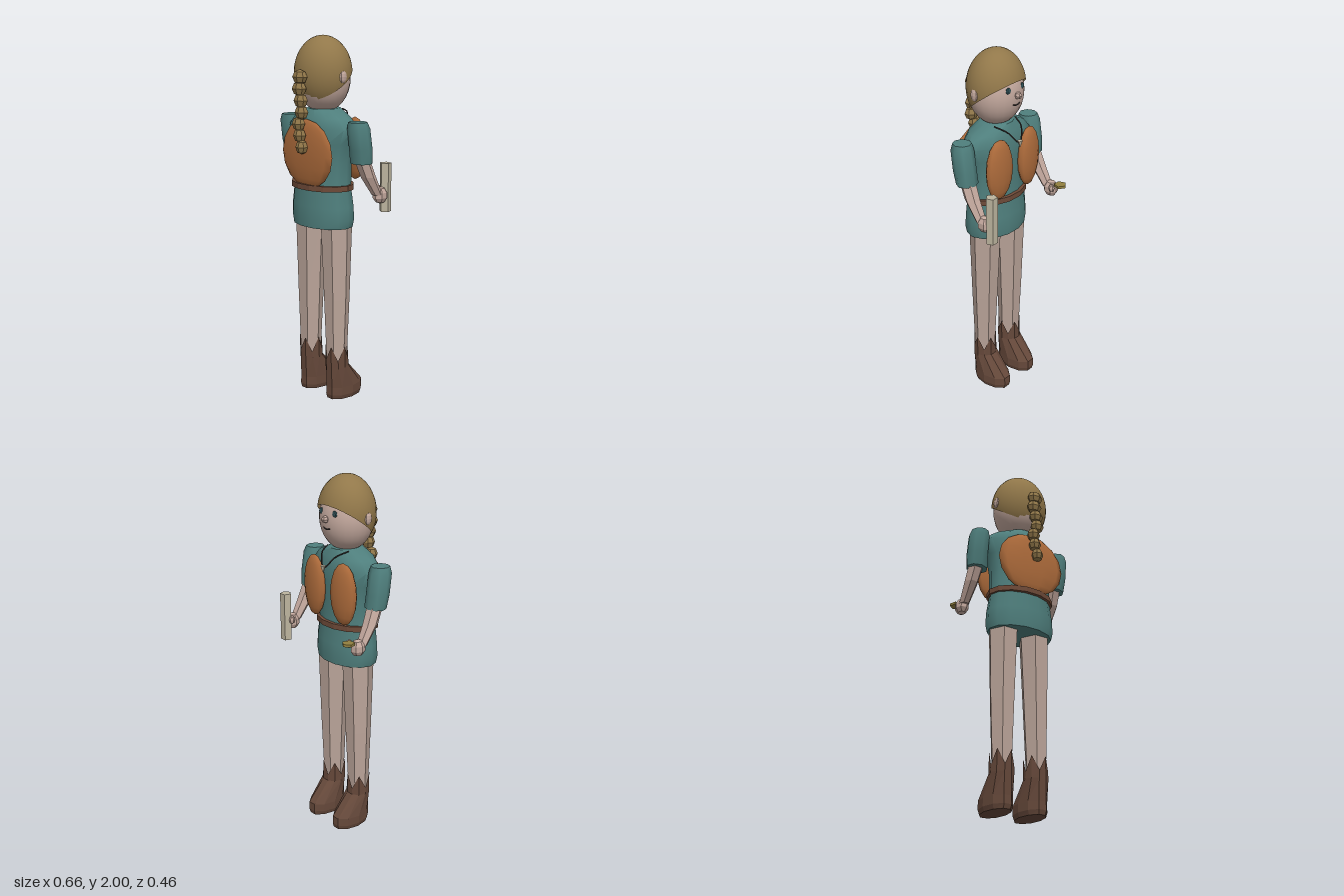
import * as THREE from 'three';
import { toCreasedNormals } from 'three/addons/utils/BufferGeometryUtils.js';

const COLORS = {
  skin: 0xc4a99e, hair: 0x92784a, tunic: 0x4f7f7d, leather: 0xad6b3b,
  trousers: 0xbba59a, boot: 0x65483a, belt: 0x6e4a38, bone: 0xbdb59f,
  gold: 0x92803f, dark: 0x2f2a28, eye: 0x2f4f55,
};

const material = (color, flatShading) =>
  new THREE.MeshStandardMaterial({ color: COLORS[color], flatShading, side: THREE.DoubleSide });

function add(parent, name, geometry, color, flat = true) {
  const mesh = new THREE.Mesh(geometry, material(color, flat));
  mesh.name = name;
  parent.add(mesh);
  return mesh;
}

// Stacked ellipses, top to bottom; each ring is [y, centreX, centreZ, radiusX, radiusZ]
function loft(rings, sides, { smooth = false, topCap = true, zigzag = 0 } = {}) {
  const pos = [], index = [];
  rings.forEach(([y, cx, cz, rx, rz], i) => {
    for (let j = 0; j < sides; j++) {
      const a = (j / sides) * Math.PI * 2;
      const drop = i === 0 && j % 2 ? zigzag : 0;
      pos.push(cx + rx * Math.cos(a), y - drop, cz + rz * Math.sin(a));
    }
  });
  const last = rings.length - 1, top = pos.length / 3, bottom = top + 1;
  for (const r of [rings[0], rings[last]]) pos.push(r[1], r[0], r[2]);
  for (let j = 0; j < sides; j++) {
    const k = (j + 1) % sides;
    for (let i = 0; i < last; i++) {
      const a = i * sides + j, b = i * sides + k;
      index.push(a, b, b + sides, a, b + sides, a + sides);
    }
    if (topCap) index.push(top, k, j);
    index.push(bottom, last * sides + j, last * sides + k);
  }
  const geometry = new THREE.BufferGeometry();
  geometry.setAttribute('position', new THREE.Float32BufferAttribute(pos, 3));
  geometry.setIndex(index);
  geometry.computeVertexNormals();
  return smooth ? toCreasedNormals(geometry, 1) : geometry;
}

// Sphere stretched to the given radii
function ball(parent, name, color, center, radii, [w, h] = [8, 6], flat = true) {
  const mesh = add(parent, name, new THREE.SphereGeometry(1, w, h), color, flat);
  mesh.position.set(...center);
  mesh.scale.set(...radii);
  return mesh;
}

function buildHead() {
  const head = new THREE.Group();
  head.name = 'head';
  ball(head, 'face', 'skin', [0, 1.775, 0.03], [0.15, 0.18, 0.143], [24, 16], false);

  // Hair cap, cut along a plane that slopes down to the nape
  const cap = new THREE.SphereGeometry(1, 28, 14, 0, Math.PI * 2, 0, 1.8);
  cap.rotateX(0.51).scale(0.163, 0.2, 0.15);
  add(head, 'hair', cap, 'hair', false).position.set(0, 1.8, 0.03);

  // Braid of faceted knots swaying down the back
  for (let i = 0; i < 7; i++) {
    const sway = [0, -0.006, 0.006, 0.012, -0.012, -0.004, 0.012][i];
    const r = 0.047 - i * 0.0022;
    ball(head, 'braidKnot', 'hair', [sway, 1.79 - i * 0.061, 0.195], [r, 0.039, 0.034], [7, 4]);
  }
  ball(head, 'nose', 'skin', [0, 1.782, -0.117], [0.02, 0.02, 0.022], [6, 4]);
  for (const s of [-1, 1]) {
    ball(head, 'ear', 'skin', [s * 0.155, 1.79, 0.036], [0.015, 0.034, 0.028], [8, 6]);
    ball(head, 'eye', 'eye', [s * 0.052, 1.815, -0.097], [0.017, 0.017, 0.01], [8, 6]);
  }
  const smile = new THREE.QuadraticBezierCurve3(
    new THREE.Vector3(-0.026, 1.735, -0.105), new THREE.Vector3(0, 1.722, -0.11),
    new THREE.Vector3(0.026, 1.735, -0.105));
  add(head, 'mouth', new THREE.TubeGeometry(smile, 6, 0.004, 4), 'dark');
  add(head, 'neck', new THREE.CylinderGeometry(0.065, 0.075, 0.12, 8), 'skin')
    .position.set(0, 1.61, 0.03);
  return head;
}

function buildBody() {
  const body = new THREE.Group();
  body.name = 'body';
  add(body, 'tunic', loft([
    [1.618, 0, 0.025, 0.09, 0.09], [1.575, 0, 0.03, 0.185, 0.11],
    [1.52, 0, 0.03, 0.235, 0.122], [1.44, 0, 0.03, 0.205, 0.122],
    [1.34, 0, 0.032, 0.186, 0.12], [1.2, 0, 0.035, 0.186, 0.122],
    [1.1, 0, 0.033, 0.2, 0.132], [1.03, 0, 0.033, 0.204, 0.134],
    [0.985, 0, 0.033, 0.193, 0.13],
  ], 14, { smooth: true }), 'tunic', false);
  add(body, 'belt', loft([
    [1.22, 0, 0.035, 0.198, 0.142], [1.19, 0, 0.035, 0.198, 0.142],
  ], 14), 'belt');

  // Round pack on the back, two pouches on the chest
  const pack = ball(body, 'backPack', 'leather', [0, 1.382, 0.148], [0.205, 0.185, 0.032], [10, 8], false);
  pack.rotation.y = -0.04;
  for (const s of [-1, 1]) {
    const pouch = ball(body, 'chestPouch', 'leather', [s * 0.117, 1.4, -0.095],
      [0.09, 0.17, 0.037], [12, 8], false);
    pouch.rotation.y = -s * 0.12;
  }

  // Necklace cord with a tooth-shaped pendant
  const cord = new THREE.CatmullRomCurve3([
    [-0.085, 1.615, -0.03], [-0.055, 1.59, -0.095], [0, 1.525, -0.13],
    [0.055, 1.59, -0.095], [0.085, 1.615, -0.03],
  ].map((p) => new THREE.Vector3(...p)));
  add(body, 'necklaceCord', new THREE.TubeGeometry(cord, 16, 0.004, 4), 'dark');
  const pendant = add(body, 'pendant', new THREE.ConeGeometry(0.016, 0.04, 5), 'bone');
  pendant.position.set(0, 1.518, -0.134);
  pendant.rotation.x = Math.PI;
  return body;
}

function buildArm(s) {
  const arm = new THREE.Group();
  arm.name = s > 0 ? 'leftArm' : 'rightArm';
  add(arm, 'sleeve', loft([
    [1.565, s * 0.262, 0.03, 0.05, 0.05], [1.53, s * 0.265, 0.026, 0.06, 0.06],
    [1.42, s * 0.266, 0.01, 0.062, 0.06], [1.345, s * 0.26, 0, 0.063, 0.053],
  ], 8, { smooth: true }), 'tunic', false);
  add(arm, 'forearm', loft([
    [1.38, s * 0.262, 0.003, 0.045, 0.042], [1.27, s * 0.27, -0.043, 0.04, 0.042],
    [1.165, s * 0.274, -0.108, 0.029, 0.03],
  ], 6), 'skin');
  ball(arm, 'hand', 'skin', [s * 0.273, 1.16, -0.132], [0.038, 0.047, 0.045], [7, 5]);
  ball(arm, 'thumb', 'skin', [s * 0.238, 1.18, -0.162], [0.015, 0.025, 0.018], [6, 4]);
  return arm;
}

function buildLeg(s) {
  const leg = new THREE.Group();
  leg.name = s > 0 ? 'leftLeg' : 'rightLeg';
  add(leg, 'trouserLeg', loft([
    [1.02, s * 0.1, 0.025, 0.084, 0.09], [0.58, s * 0.105, 0.026, 0.07, 0.073],
    [0.15, s * 0.107, 0.028, 0.053, 0.056],
  ], 6), 'trousers');
  // Boot with a jagged top edge, spreading forward into the toe
  add(leg, 'boot', loft([
    [0.31, s * 0.106, 0.027, 0.064, 0.066], [0.19, s * 0.106, 0.025, 0.066, 0.066],
    [0.07, s * 0.106, -0.03, 0.074, 0.12], [0.025, s * 0.106, -0.03, 0.074, 0.122],
    [0, s * 0.106, -0.03, 0.066, 0.115],
  ], 10, { topCap: false, zigzag: 0.08 }), 'boot');
  return leg;
}

export function createModel() {
  const model = new THREE.Group();
  model.name = 'traveller';
  model.add(buildHead(), buildBody());
  for (const s of [-1, 1]) model.add(buildArm(s), buildLeg(s));

  // Upright rod in one hand, small flat token in the other
  add(model, 'rod', new THREE.CylinderGeometry(0.032, 0.032, 0.265, 5), 'bone')
    .position.set(0.27, 1.197, -0.175);
  const token = add(model, 'token', new THREE.CylinderGeometry(0.035, 0.035, 0.014, 5), 'gold');
  token.position.set(-0.272, 1.196, -0.197);
  token.rotation.y = Math.PI;
  return model;
}
